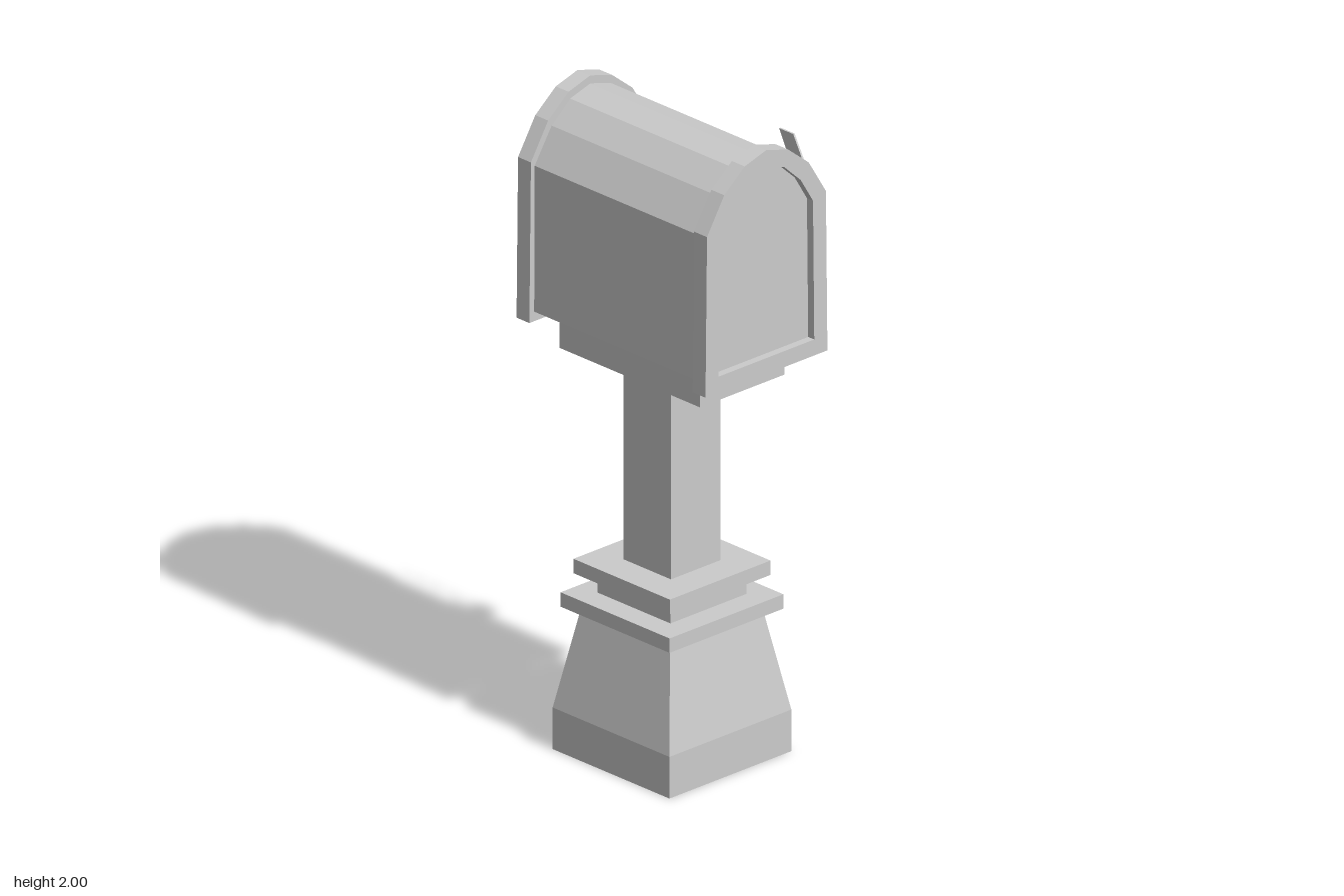
import * as THREE from 'three';

const CZ = 0.018; // centre line of post and box in z
const material = new THREE.MeshStandardMaterial({ color: 0xcccccc, flatShading: true });

function add(group, name, geometry, x = 0, y = 0, z = 0) {
  const mesh = new THREE.Mesh(geometry, material);
  mesh.name = name;
  mesh.position.set(x, y, z);
  group.add(mesh);
  return mesh;
}

// Faceted arch outline, mirrored from its right half [halfWidth, height]
function archPoints(half) {
  const left = half.filter(([w]) => w > 0).reverse().map(([w, y]) => [-w, y]);
  return [...half, ...left].map(([w, y]) => new THREE.Vector2(w, y));
}

// Extrude an arch along x, from x0 to x1
function extrudeX(shape, x0, x1) {
  const g = new THREE.ExtrudeGeometry(shape, { depth: x1 - x0, bevelEnabled: false });
  g.rotateY(Math.PI / 2);
  g.translate(x0, 0, CZ);
  return g;
}

// Square section with straight foot and tapered upper part
function pedestalGeometry() {
  const rings = [[0.241, 0], [0.241, 0.13], [0.183, 0.445]];
  const g = new THREE.LatheGeometry(
    [[0, 0], ...rings, [0, 0.445]].map(([r, y]) => new THREE.Vector2(r * Math.SQRT2, y)), 4);
  g.rotateY(Math.PI / 4);
  return g;
}

export function createModel() {
  const model = new THREE.Group();
  model.name = 'mailbox';

  // Pedestal, mouldings, post and platform
  add(model, 'pedestal', pedestalGeometry(), 0, 0, CZ);
  const blocks = [
    ['lowerMoulding', 0.225, 0.225, 0.445, 0.49],
    ['mouldingNeck', 0.15, 0.15, 0.49, 0.55],
    ['upperMoulding', 0.199, 0.199, 0.55, 0.595],
    ['post', 0.098, 0.098, 0.595, 1.215],
    ['platform', 0.29, 0.167, 1.215, 1.33],
  ];
  for (const [name, hx, hz, y0, y1] of blocks) {
    add(model, name, new THREE.BoxGeometry(hx * 2, y1 - y0, hz * 2), 0, (y0 + y1) / 2, CZ);
  }

  // Box body with arched roof; its ends are the recessed door panels
  const body = archPoints([[0.222, 1.33], [0.22, 1.785], [0.153, 1.89], [0.08, 1.952], [0, 1.975]]);
  add(model, 'boxBody', extrudeX(new THREE.Shape(body), -0.365, 0.365));

  // Arched frame around each end
  const outer = archPoints([[0.241, 1.3], [0.235, 1.8], [0.167, 1.91], [0.086, 1.975], [0, 2]]);
  const inner = archPoints([[0.189, 1.35], [0.184, 1.785], [0.135, 1.865], [0.07, 1.925], [0, 1.948]]);
  for (const [name, x0, x1] of [['leftFrame', 0.337, 0.39], ['rightFrame', -0.39, -0.337]]) {
    const shape = new THREE.Shape(outer);
    shape.holes.push(new THREE.Path(inner));
    add(model, name, extrudeX(shape, x0, x1));
  }

  // Signal flag on the back: pivot, bent arm with a round foot, cap
  const flag = new THREE.Group();
  flag.name = 'flag';
  flag.position.set(0.254, 1.6, 0);
  model.add(flag);
  const disc = (r, depth) => new THREE.CylinderGeometry(r, r, depth, 16).rotateX(Math.PI / 2);
  add(flag, 'flagPivot', disc(0.029, 0.05), 0, 0, -0.225);
  add(flag, 'flagCap', disc(0.03, 0.012), 0, 0, -0.256);
  const arm = new THREE.Shape();
  arm.moveTo(0.033, 0);
  arm.lineTo(0.03, 0.22);
  arm.lineTo(-0.025, 0.318);
  arm.lineTo(-0.083, 0.318);
  arm.lineTo(-0.025, 0.205);
  arm.lineTo(-0.033, 0);
  arm.absarc(0, 0, 0.033, Math.PI, Math.PI * 2, false);
  add(flag, 'flagArm',
    new THREE.ExtrudeGeometry(arm, { depth: 0.006, bevelEnabled: false, curveSegments: 8 }), 0, 0, -0.248);

  return model;
}
